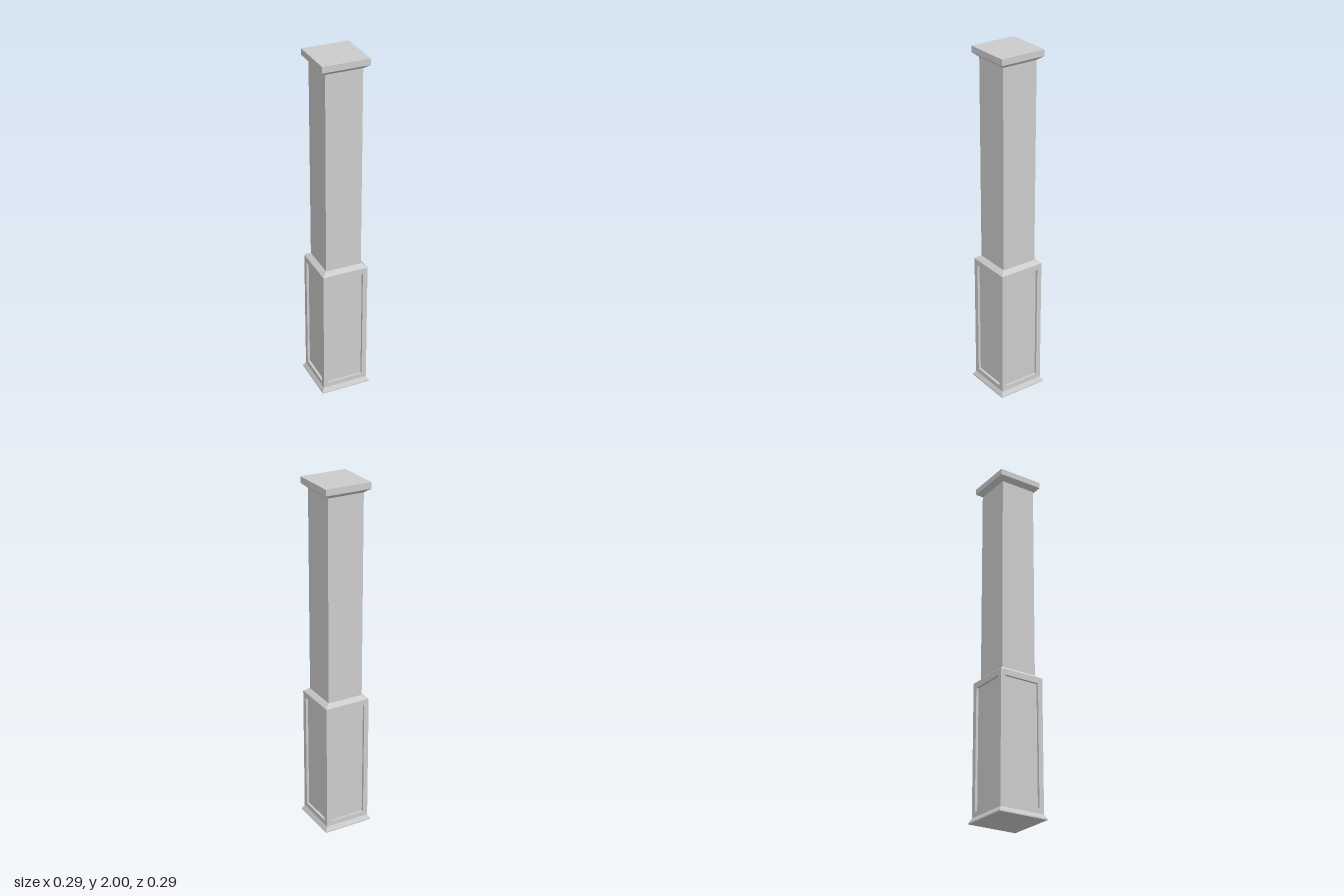
import * as THREE from 'three';

const material = new THREE.MeshStandardMaterial({ color: 0xcccccc, flatShading: true });

// Joins rectangular rings [halfWidth, halfHeight, z, centreY] with flat quads, listed towards +z.
function loft(rings, capStart, capEnd) {
  const loops = rings.map(([w, h, z, cy = 0]) =>
    [[-w, cy - h, z], [w, cy - h, z], [w, cy + h, z], [-w, cy + h, z]]);
  const positions = [];
  const quad = (a, b, c, d) => positions.push(...a, ...b, ...c, ...a, ...c, ...d);
  for (let i = 0; i < loops.length - 1; i++) {
    const a = loops[i], b = loops[i + 1];
    for (let j = 0; j < 4; j++) {
      const k = (j + 1) % 4;
      quad(a[j], a[k], b[k], b[j]);
    }
  }
  if (capStart) quad(...[...loops[0]].reverse());
  if (capEnd) quad(...loops[loops.length - 1]);
  const geometry = new THREE.BufferGeometry();
  geometry.setAttribute('position', new THREE.Float32BufferAttribute(positions, 3));
  geometry.computeVertexNormals();
  return geometry;
}

// Square moulding rising along y from a profile of [halfWidth, y] points.
function squareMoulding(profile, capBottom, capTop) {
  return loft(profile.map(([w, y]) => [w, w, y]), capBottom, capTop).rotateX(-Math.PI / 2);
}

export function createModel() {
  const group = new THREE.Group();
  const add = (name, geometry, parent = group) => {
    const mesh = new THREE.Mesh(geometry, material);
    mesh.name = name;
    parent.add(mesh);
    return mesh;
  };

  const half = 0.132, shaftHalf = 0.104;
  const skirtTop = 0.03, pedestalTop = 0.775;

  // Flared foot
  add('baseSkirt', squareMoulding([[0.145, 0], [0.145, 0.006], [half, skirtTop]], true, false));

  // Four pedestal sides, each a frame around a recessed panel
  const pedestal = new THREE.Group();
  pedestal.name = 'pedestal';
  group.add(pedestal);
  const sideHalf = (pedestalTop - skirtTop) / 2, sideMid = (pedestalTop + skirtTop) / 2;
  const panelHalf = 0.342, panelMid = 0.4, recess = 0.014;
  const side = loft([
    [half, sideHalf, half, sideMid],
    [shaftHalf, panelHalf, half, panelMid],
    [shaftHalf, panelHalf, half - recess, panelMid],
  ], false, true);
  ['front', 'left', 'back', 'right'].forEach((name, i) => {
    add(name + 'Panel', side, pedestal).rotation.y = i * Math.PI / 2;
  });

  // Sloped ledge between pedestal and shaft
  add('pedestalLedge', squareMoulding([[half, pedestalTop], [0.108, 0.795], [shaftHalf, 0.795]], false, false));

  // Plain square shaft
  add('shaft', squareMoulding([[shaftHalf, 0.795], [shaftHalf, 1.943]], false, false));

  // Cap with a bevelled underside
  add('cap', squareMoulding([[shaftHalf, 1.943], [half, 1.965], [half, 2]], false, true));

  return group;
}
